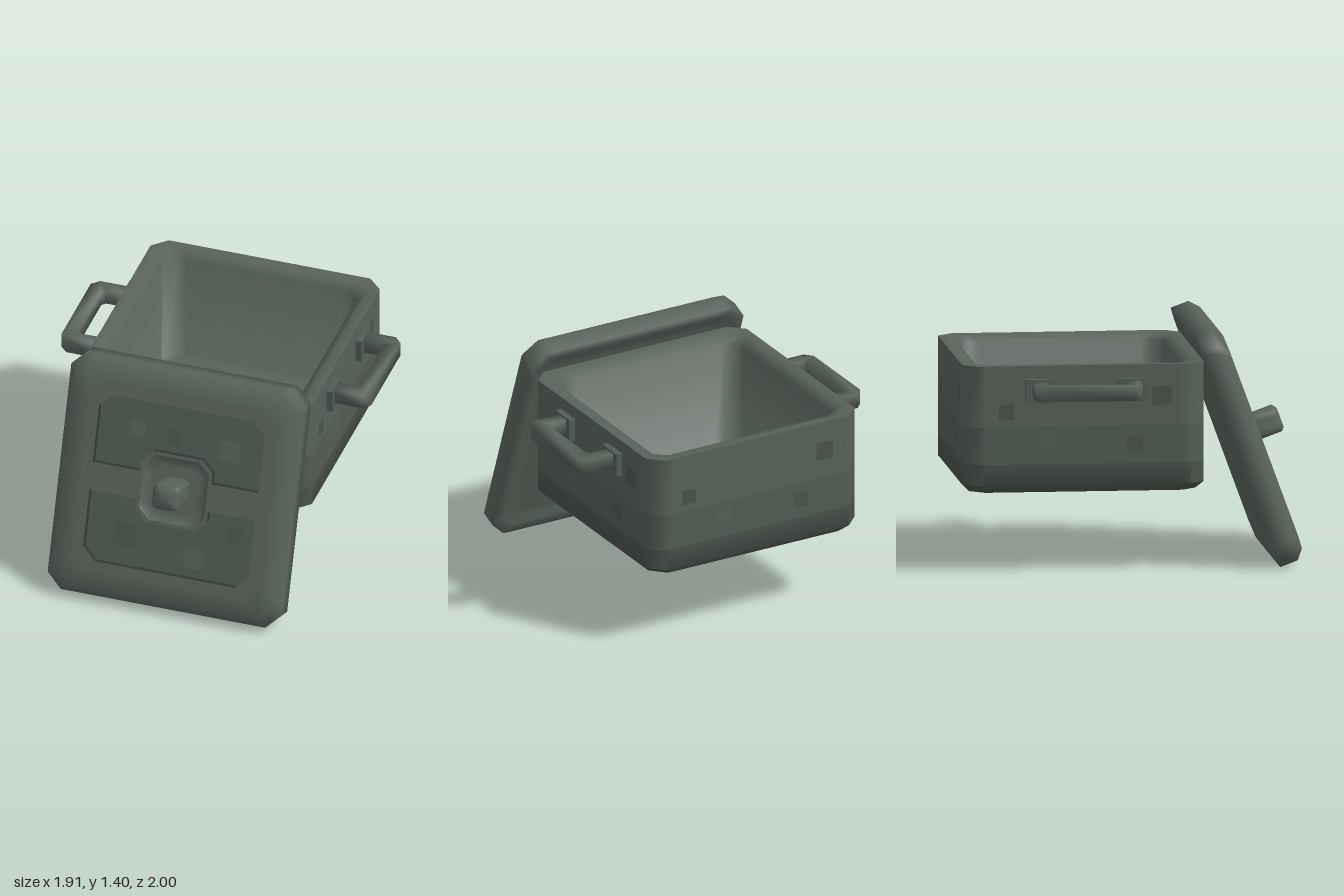
import * as THREE from 'three';
import { toCreasedNormals } from 'three/addons/utils/BufferGeometryUtils.js';

const paint = (color) => new THREE.MeshStandardMaterial({ color });
const IRON = paint(0x58625a), MID = paint(0x525c54), LOW = paint(0x4a534c);
const PANEL = paint(0x505a52), LIGHT = paint(0x556057), DARK = paint(0x4b544d), EDGE = paint(0x333a35);
const SHARP = 0.9, SOFT = 1.7; // crease angles

function add(parent, name, geometry, material, x = 0, y = 0, z = 0) {
  const mesh = new THREE.Mesh(geometry, material);
  mesh.name = name;
  mesh.position.set(x, y, z);
  parent.add(mesh);
  return mesh;
}

// Rectangle with cut corners, with extra points that keep the flat sides flat
function ring([hx, hy, c, z]) {
  const s = Math.min(0.05, (Math.min(hx, hy) - c) / 2);
  const q = [[hx, hy - c - s], [hx, hy - c], [hx - c, hy], [hx - c - s, hy]];
  const flip = [...q].reverse();
  return [
    ...q, ...flip.map(([x, y]) => [-x, y]),
    ...q.map(([x, y]) => [-x, -y]), ...flip.map(([x, y]) => [x, -y]),
  ].map(([x, y]) => [x, y, z]);
}

// Skin through rings [halfX, halfY, cornerCut, z]; halfX 0 closes an end
function loft(sections, crease) {
  const rings = sections.map(ring), pos = [], n = 16;
  for (let k = 0; k + 1 < rings.length; k++) {
    for (let i = 0; i < n; i++) {
      const j = (i + 1) % n, a = rings[k], b = rings[k + 1];
      if (sections[k][0] > 0) pos.push(...a[i], ...a[j], ...b[j]);
      if (sections[k + 1][0] > 0) pos.push(...a[i], ...b[j], ...b[i]);
    }
  }
  const g = new THREE.BufferGeometry();
  g.setAttribute('position', new THREE.Float32BufferAttribute(pos, 3));
  return toCreasedNormals(g, crease);
}

const polygon = (pts) => new THREE.Shape(pts.map(([x, y]) => new THREE.Vector2(x, y)));

function makeBody() {
  const body = new THREE.Group();
  body.name = 'potBody';
  body.position.z = -0.29;
  const W = 0.705, D = 0.71, C = 0.085;
  const upright = (rings, crease) => loft(rings, crease).rotateX(-Math.PI / 2);
  add(body, 'lowerWall', upright([
    [0, 0, 0, 0.47], [W - 0.1, D - 0.1, C, 0.47], [W - 0.045, D - 0.045, C, 0.47],
    [W, D, C, 0.515], [W, D, C, 0.64]], SHARP), LOW);
  add(body, 'middleWall', upright([[W, D, C, 0.64], [W, D, C, 0.86]], SHARP), MID);
  add(body, 'upperWall', upright([[W, D, C, 0.86], [W, D, C, 1.22]], SHARP), IRON);
  add(body, 'rimAndInside', upright([
    [W, D, C, 1.22], [0.65, 0.65, 0.08, 1.22], [0.595, 0.595, 0.07, 1.18],
    [0.595, 0.595, 0.07, 0.52], [0.54, 0.54, 0.06, 0.52], [0, 0, 0, 0.52]], SOFT), IRON);

  // Faint square patches: offset along the wall, height, size, shade
  const patches = [
    [0.46, 0.95, 0.09, DARK], [0.22, 0.785, 0.1, LIGHT],
    [-0.295, 0.755, 0.09, DARK], [-0.455, 1.035, 0.11, DARK]];
  [[1, 0], [0, -1], [-1, 0]].forEach(([nx, nz]) => {
    for (const [u, y, s, m] of patches) {
      const p = add(body, 'wallPatch', new THREE.PlaneGeometry(s, s), m,
        nx * (W + 0.002) - nz * u, y, nz * (D + 0.002) + nx * u);
      p.rotation.y = Math.atan2(nx, nz);
    }
  });
  return body;
}

// Side handle, pointing along +x
function makeHandle() {
  const handle = new THREE.Group();
  const bar = polygon([
    [0.71, -0.315], [0.91, -0.315], [0.953, -0.27], [0.953, 0.27], [0.91, 0.315], [0.71, 0.315],
    [0.71, 0.23], [0.845, 0.23], [0.867, 0.208], [0.867, -0.208], [0.845, -0.23], [0.71, -0.23]]);
  const g = new THREE.ExtrudeGeometry(bar, { depth: 0.09, bevelEnabled: false }).rotateX(Math.PI / 2);
  add(handle, 'handleBar', toCreasedNormals(g, SOFT), IRON, 0, 1.13, 0);
  for (const s of [-1, 1]) {
    add(handle, 'handlePlate', new THREE.BoxGeometry(0.06, 0.14, 0.165), MID, 0.712, 1.073, s * 0.272);
  }
  return handle;
}

// Lid built flat, front along +z, then leaned against the pot
function makeLid() {
  const lid = new THREE.Group();
  lid.name = 'lid';
  // Hollowed back, sides and bevelled front edge
  add(lid, 'lidShell', loft([
    [0, 0, 0, 0.02], [0.57, 0.575, 0.05, 0.02], [0.61, 0.615, 0.06, 0.02], [0.66, 0.665, 0.07, 0],
    [0.72, 0.725, 0.09, 0], [0.72, 0.725, 0.09, 0.11],
    [0.67, 0.675, 0.08, 0.16], [0.56, 0.565, 0.08, 0.16]], SOFT), IRON);

  // Front plate with a well for the knob and two sunken panels notched around it
  const half = [
    [0.51, 0.085], [0.51, 0.43], [0.43, 0.507], [-0.43, 0.507], [-0.51, 0.43], [-0.51, 0.085],
    [-0.22, 0.085], [-0.22, 0.15], [-0.15, 0.218], [0.15, 0.218], [0.22, 0.15], [0.22, 0.085]];
  const face = polygon(ring([0.56, 0.565, 0.08, 0]));
  face.holes.push(polygon(ring([0.2, 0.198, 0.065, 0])));
  for (const s of [1, -1]) face.holes.push(polygon(half.map(([x, y]) => [x, s * y])));
  const plate = new THREE.ExtrudeGeometry(face, { depth: 0.05, bevelEnabled: false });
  add(lid, 'frontPlate', plate, [IRON, EDGE], 0, 0, 0.11);
  add(lid, 'sunkenPanels', new THREE.PlaneGeometry(1.1, 1.1), PANEL, 0, 0, 0.111);
  const patches = [
    [-0.27, 0.32, 0.09, LIGHT], [0.3, 0.287, 0.12, LIGHT], [-0.05, 0.31, 0.09, DARK],
    [-0.28, -0.33, 0.13, DARK], [0.38, -0.21, 0.09, DARK], [0.15, -0.395, 0.12, LIGHT]];
  for (const [x, y, s, m] of patches) add(lid, 'panelPatch', new THREE.PlaneGeometry(s, s), m, x, y, 0.113);

  add(lid, 'knobWell', loft([
    [0.2, 0.198, 0.065, 0.16], [0.17, 0.168, 0.05, 0.135],
    [0.14, 0.138, 0.04, 0.135], [0, 0, 0, 0.135]], SHARP), IRON);
  add(lid, 'knob', loft([
    [0.08, 0.075, 0.02, 0.12], [0.08, 0.075, 0.02, 0.32],
    [0.062, 0.057, 0.015, 0.338], [0, 0, 0, 0.338]], SHARP), IRON);

  const tilt = 0.352;
  lid.rotation.x = -tilt;
  lid.position.set(0, 0.725 * Math.cos(tilt), 0.868 - 0.725 * Math.sin(tilt));
  return lid;
}

export function createModel() {
  const model = new THREE.Group();
  model.name = 'pot';
  model.add(makeBody(), makeLid());
  ['leftHandle', 'rightHandle'].forEach((name, i) => {
    const h = makeHandle();
    h.name = name;
    h.position.z = -0.285;
    h.rotation.y = i * Math.PI;
    model.add(h);
  });
  return model;
}
